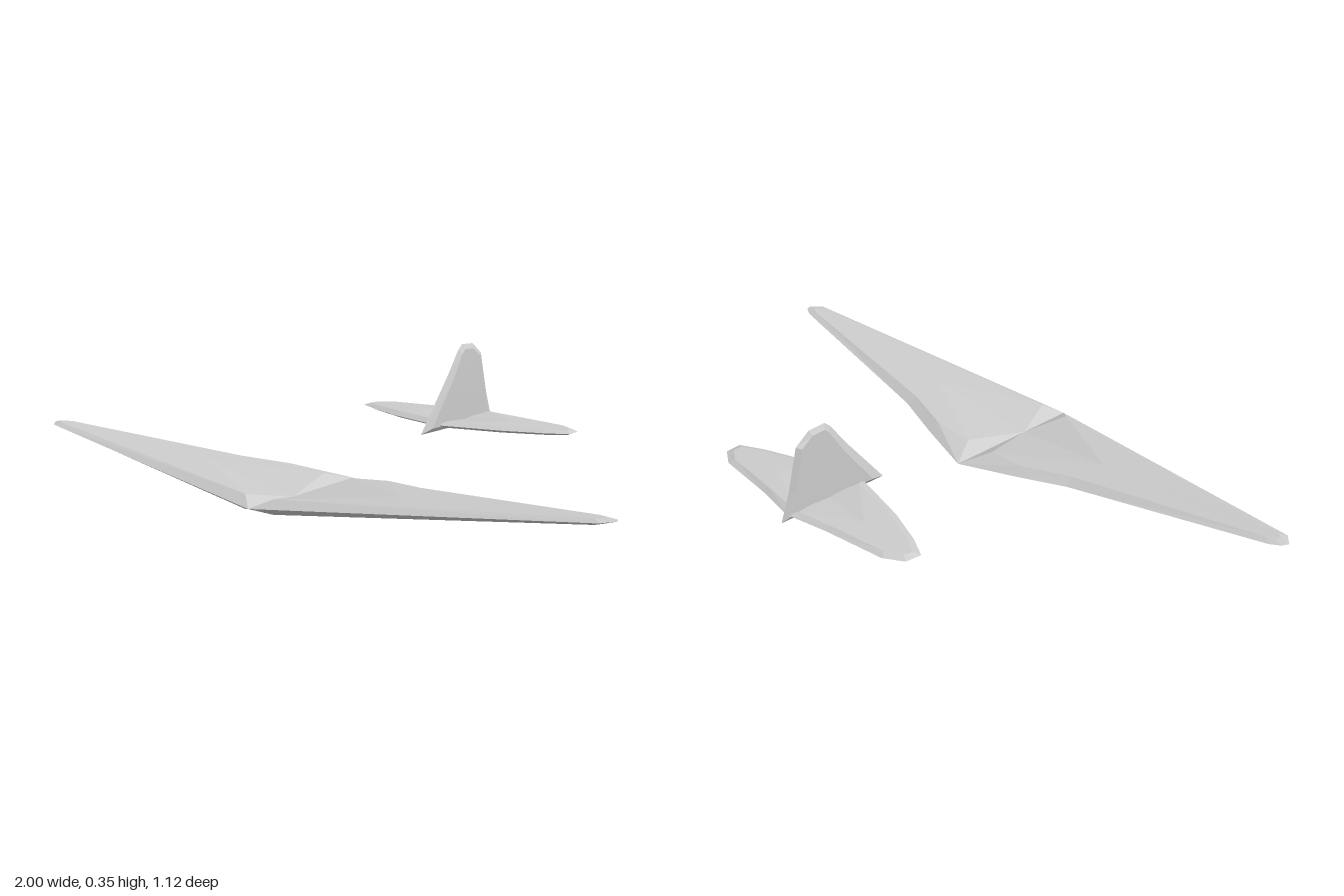
import * as THREE from 'three';

const material = new THREE.MeshStandardMaterial({ color: 0xcccccc, flatShading: true });

// Bevelled plate: each row is [edge u, edge v, face u, face v, half thickness].
// place(u, v, h) maps the plate into space.
function plate(name, rows, centre, place) {
  const n = rows.length, pos = [];
  const add = (u, v, h) => pos.push(...place(u, v, h));
  rows.forEach(r => add(r[2], r[3], -r[4]));
  rows.forEach(r => add(r[0], r[1], 0));
  rows.forEach(r => add(r[2], r[3], r[4]));
  add(centre[0], centre[1], -centre[2]);
  add(centre[0], centre[1], centre[2]);
  const tris = [];
  for (let i = 0; i < n; i++) {
    const j = (i + 1) % n;
    for (const k of [0, n]) {
      tris.push([k + i, k + j, k + n + j], [k + i, k + n + j, k + n + i]);
    }
    tris.push([3 * n, j, i], [3 * n + 1, 2 * n + i, 2 * n + j]);
  }
  // Turn faces outward whichever way the plate is placed or mirrored
  const at = i => new THREE.Vector3().fromArray(pos, i * 3);
  let volume = 0;
  for (const [a, b, c] of tris) volume += at(a).dot(at(b).cross(at(c)));
  if (volume < 0) tris.forEach(t => t.reverse());

  const indexed = new THREE.BufferGeometry();
  indexed.setAttribute('position', new THREE.Float32BufferAttribute(pos, 3));
  indexed.setIndex(tris.flat());
  const geometry = indexed.toNonIndexed();
  geometry.computeVertexNormals();
  const mesh = new THREE.Mesh(geometry, material);
  mesh.name = name;
  return mesh;
}

export function createModel() {
  const group = new THREE.Group();
  group.name = 'gliderSurfaces';

  // The root edge pinches to a point between its two bevelled corners
  const wing = [
    [0, 0.38, 0, 0.38, 0],
    [0, 0.10, 0.05, 0.19, 0.021],
    [0.18, 0.152, 0.18, 0.187, 0.02],
    [0.34, 0.205, 0.33, 0.235, 0.018],
    [0.96, 0.32, 0.94, 0.335, 0.008],
    [0.99, 0.335, 0.965, 0.345, 0.007],
    [1.0, 0.355, 0.972, 0.357, 0.006],
    [0.97, 0.39, 0.95, 0.375, 0.008],
    [0, 0.557, 0.05, 0.513, 0.021],
  ];
  const tail = [
    [0, -0.40, 0, -0.40, 0],
    [0, -0.54, 0.02, -0.515, 0.01],
    [0.13, -0.515, 0.13, -0.498, 0.01],
    [0.33, -0.49, 0.32, -0.473, 0.008],
    [0.385, -0.455, 0.365, -0.445, 0.007],
    [0.39, -0.405, 0.37, -0.418, 0.007],
    [0.32, -0.368, 0.315, -0.386, 0.008],
    [0.2, -0.322, 0.19, -0.343, 0.01],
    [0, -0.27, 0.02, -0.30, 0.01],
  ];

  // Mirrored wings with dihedral and a level tailplane
  for (const [side, label] of [[1, 'left'], [-1, 'right']]) {
    group.add(plate(label + 'Wing', wing, [0.35, 0.35, 0.018],
      (u, v, h) => [side * u, 0.022 + 0.086 * u + h, v]));
    group.add(plate(label + 'Tailplane', tail, [0.18, -0.42, 0.01],
      (u, v, h) => [side * u, 0.121 + h, v]));
  }

  // Upright fin, u along z and v up
  const fin = [
    [-0.195, 0.103, -0.24, 0.116, 0.01],
    [-0.33, 0.268, -0.34, 0.245, 0.01],
    [-0.38, 0.337, -0.392, 0.325, 0.009],
    [-0.40, 0.353, -0.406, 0.337, 0.008],
    [-0.455, 0.35, -0.448, 0.335, 0.008],
    [-0.50, 0.315, -0.485, 0.308, 0.009],
    [-0.53, 0.19, -0.512, 0.19, 0.01],
    [-0.56, 0.103, -0.535, 0.116, 0.01],
  ];
  group.add(plate('fin', fin, [-0.43, 0.2, 0.01], (u, v, h) => [h, v, u]));

  return group;
}
